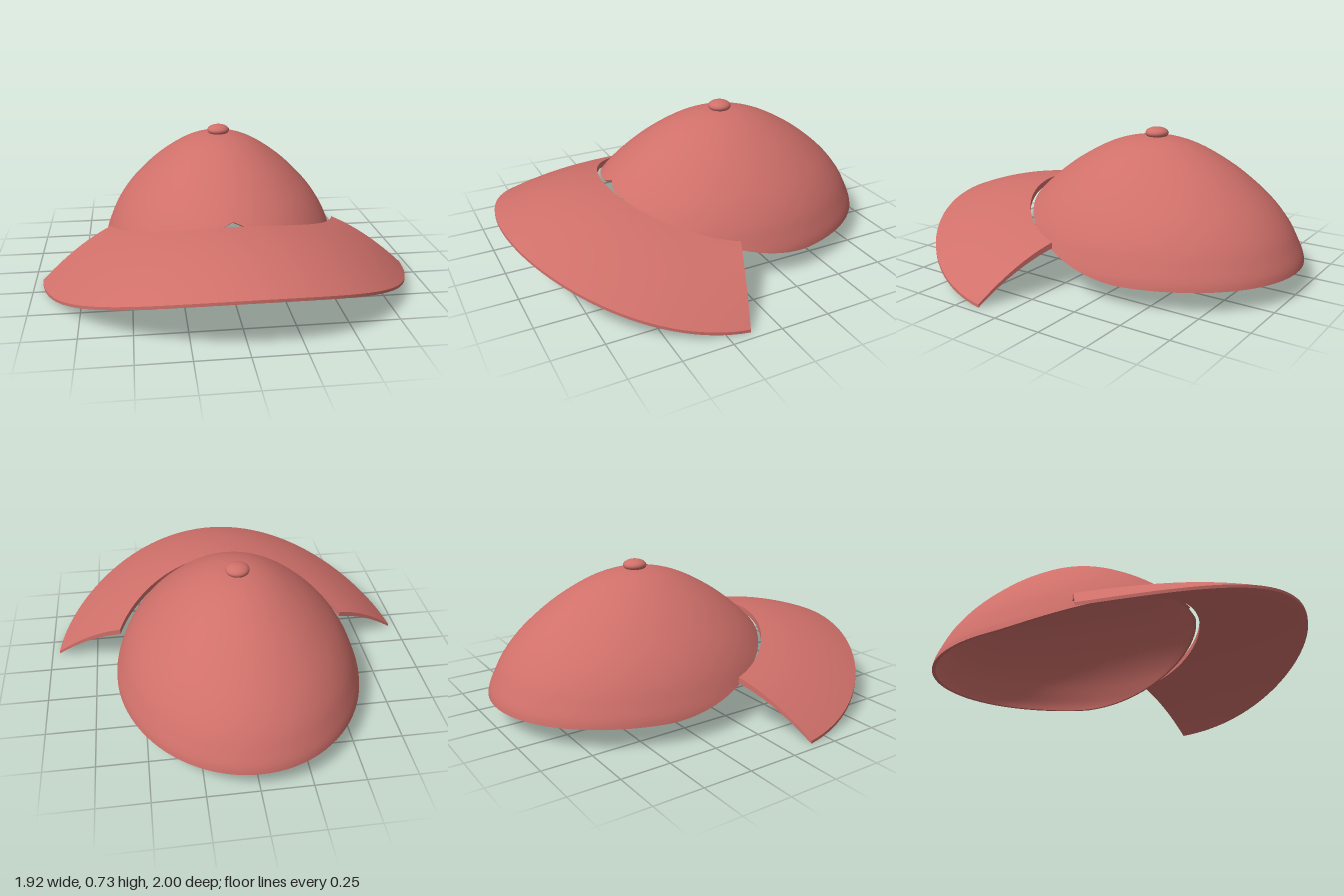
import * as THREE from 'three';
import { mergeVertices, toCreasedNormals } from 'three/addons/utils/BufferGeometryUtils.js';

// Surface from a grid of points: fn(i, j) returns [x, y, z]
function gridSurface(nu, nv, fn, crease) {
  const pos = [], index = [];
  for (let j = 0; j <= nv; j++) for (let i = 0; i <= nu; i++) pos.push(...fn(i, j));
  for (let j = 0; j < nv; j++) {
    for (let i = 0; i < nu; i++) {
      const a = j * (nu + 1) + i, b = a + 1, c = a + nu + 1, d = c + 1;
      index.push(a, b, c, b, d, c);
    }
  }
  const geo = new THREE.BufferGeometry();
  geo.setAttribute('position', new THREE.Float32BufferAttribute(pos, 3));
  geo.setIndex(index);
  return toCreasedNormals(mergeVertices(geo, 1e-5), crease);
}

const CZ = -0.21; // crown centre in z

// Dome profile: radius fraction against drop fraction
const profile = new THREE.SplineCurve([
  [0, 0], [0.157, 0.02], [0.315, 0.085], [0.48, 0.2], [0.63, 0.335],
  [0.79, 0.52], [0.9, 0.7], [0.96, 0.85], [0.99, 0.94], [1, 1],
].map(([r, d]) => new THREE.Vector2(r, d)));

function domePoint(u, theta) {
  const p = profile.getPoint(u);
  return [0.635 * p.x * Math.sin(theta), 0.69 - 0.58 * p.y, CZ + 0.79 * p.x * Math.cos(theta)];
}

// The lower edge is level at the back and rises to a small notch at the front
function rimHeight(z, theta) {
  const rise = 0.345 * Math.pow(Math.max(0, z + 0.41), 1.64);
  return 0.11 + rise + 0.035 * Math.max(0, 1 - Math.abs(theta) / 0.13);
}

function rimParameter(theta) {
  let lo = 0, hi = 1;
  for (let k = 0; k < 30; k++) {
    const mid = (lo + hi) / 2;
    const [, y, z] = domePoint(mid, theta);
    if (y > rimHeight(z, theta)) lo = mid; else hi = mid;
  }
  return hi;
}

// Crown: outer skin going down, inner skin coming back up
function crownGeometry() {
  const rows = 28, around = 96;
  const rims = Array.from({ length: around + 1 }, (_, j) => rimParameter((j / around * 2 - 1) * Math.PI));
  return gridSurface(rows * 2 + 1, around, (i, j) => {
    const inner = i > rows;
    const row = inner ? rows * 2 + 1 - i : i;
    const theta = (j / around * 2 - 1) * Math.PI;
    const [x, y, z] = domePoint(rims[j] * row / rows, theta);
    if (!inner) return [x, y, z];
    return [x * 0.975, 0.11 + (y - 0.11) * 0.97, CZ + (z - CZ) * 0.975];
  }, 0.9);
}

// Brim: arched sheet between an inner ellipse and an outer circle
function brimGeometry() {
  const n = 12, across = 64;
  return gridSurface(n * 2 + 2, across, (i, j) => {
    const k = i % (n * 2 + 2);
    const bottom = k > n || j === 0 || j === across; // end rows fold down to close the sides
    const s = (k > n ? n * 2 + 1 - k : k) / n;
    const t = (Math.min(Math.max(j, 1), across - 1) - 1) / (across - 2) * 2 - 1;
    const xi = 0.635 * Math.sin(1.26 * t), zi = CZ + 0.66 * Math.cos(1.26 * t);
    const xo = 0.966 * Math.sin(1.46 * t), zo = 0.034 + 0.966 * Math.cos(1.46 * t);
    const yi = 0.385 - 0.39 * xi * xi, yo = 0.27 - 0.277 * xo * xo;
    const y = yi + (yo - yi) * s + 0.1 * s * (1 - s);
    const thickness = 0.03 - 0.015 * s;
    return [xi + (xo - xi) * s, bottom ? y - thickness : y, zi + (zo - zi) * s];
  }, 0.7);
}

export function createModel() {
  const group = new THREE.Group();
  group.name = 'cap';
  const fabric = new THREE.MeshStandardMaterial({ color: 0xd0706a });
  fabric.name = 'coral fabric';

  const add = (name, geometry) => {
    const mesh = new THREE.Mesh(geometry, fabric);
    mesh.name = name;
    group.add(mesh);
    return mesh;
  };

  add('crown', crownGeometry());
  add('brim', brimGeometry());

  // Flattened button on top of the crown
  const button = add('button', new THREE.SphereGeometry(0.06, 24, 16));
  button.scale.y = 0.5;
  button.position.set(0, 0.702, CZ - 0.005);

  return group;
}
